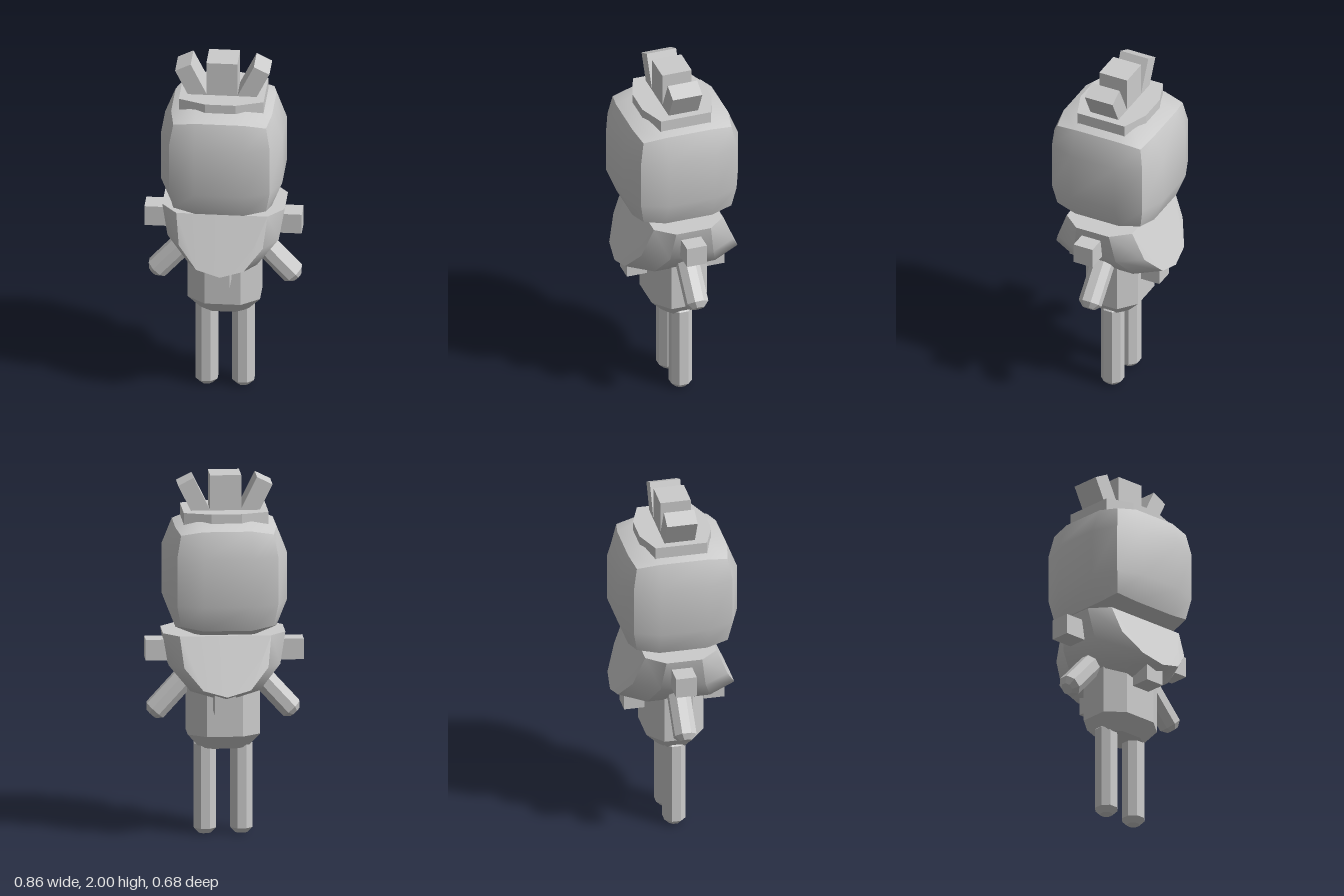
import * as THREE from 'three';
import { mergeGeometries } from 'three/addons/utils/BufferGeometryUtils.js';

const material = new THREE.MeshStandardMaterial({ color: 0xcccccc });
const flat = new THREE.MeshStandardMaterial({ color: 0xcccccc, flatShading: true });

function mesh(name, geometry, mat = flat) {
  const m = new THREE.Mesh(geometry, mat);
  m.name = name;
  return m;
}

function block(name, size, position, tilt = 0) {
  const m = mesh(name, new THREE.BoxGeometry(...size));
  m.position.set(...position);
  m.rotation.z = tilt;
  return m;
}

// Eight-sided prism through rings of [y, halfX, halfZ]; cx, cz place the cut corners.
function octagonLoft(rings, cx, cz) {
  const corners = [[1, cz], [cx, 1], [-cx, 1], [-1, cz], [-1, -cz], [-cx, -1], [cx, -1], [1, -cz]];
  const pos = [], index = [];
  rings.forEach(([y, hx, hz]) => corners.forEach(([x, z]) => pos.push(x * hx, y, z * hz)));
  for (let r = 0; r < rings.length - 1; r++) {
    for (let i = 0; i < 8; i++) {
      const a = r * 8 + i, b = r * 8 + (i + 1) % 8;
      index.push(a, a + 8, b, b, a + 8, b + 8);
    }
  }
  const top = (rings.length - 1) * 8;
  for (let i = 1; i < 7; i++) {
    index.push(0, i, i + 1, top, top + i + 1, top + i);
  }
  const g = new THREE.BufferGeometry();
  g.setAttribute('position', new THREE.Float32BufferAttribute(pos, 3));
  g.setIndex(index);
  return g;
}

// Smooth strip between two curves with the same number of points.
function strip(a, b) {
  const n = a.length, index = [];
  for (let i = 0; i < n - 1; i++) {
    index.push(i, n + i, i + 1, i + 1, n + i, n + i + 1);
  }
  const g = new THREE.BufferGeometry();
  g.setAttribute('position', new THREE.Float32BufferAttribute([...a, ...b].flat(), 3));
  g.setIndex(index);
  g.computeVertexNormals();
  return g;
}

// Cube bulged outwards on every face; each face stays smooth.
function headGeometry() {
  const g = new THREE.BoxGeometry(2, 2, 2, 3, 3, 3);
  const p = g.attributes.position;
  const reach = [0, 0.333, 0.276, 0.254];
  for (let i = 0; i < p.count; i++) {
    const v = [p.getX(i), p.getY(i), p.getZ(i)];
    const ends = v.filter(c => Math.abs(c) > 0.9).length;
    p.setXYZ(i, ...v.map(c => Math.sign(c) * (Math.abs(c) > 0.9 ? reach[ends] : 0.134)));
  }
  g.computeVertexNormals();
  return g;
}

// Half-round cape that flares to the front and back.
function capeGeometry() {
  const full = half => [...half.map(([x, y, z]) => [-x, y, z]), ...half.slice(0, -1).reverse()];
  const back = curve => curve.map(([x, y, z]) => [x, y, -z]);
  const edge = full([[0.25, 1.13, 0.2], [0.23, 0.965, 0.265], [0.13, 0.85, 0.325], [0, 0.815, 0.34]]);
  const side = full([[0.335, 1.13, 0.1], [0.305, 0.955, 0.125], [0.19, 0.82, 0.175], [0, 0.765, 0.19]]);
  const lid = curve => curve.map(([x, , z], i) => [i < 3 ? -0.25 : i > 3 ? 0.25 : 0, 1.13, Math.sign(z) * 0.2]);
  const rimFront = [side[0], edge[0], edge[6], side[6]];
  return mergeGeometries([
    strip(lid(edge), edge),
    strip(edge, side),
    strip(side, back(side)),
    strip(back(side), back(edge)),
    strip(back(edge), lid(back(edge))),
    strip(back(rimFront), rimFront),
  ]);
}

export function createModel() {
  const model = new THREE.Group();

  // Head and hair
  const head = mesh('head', headGeometry(), material);
  head.position.set(-0.007, 1.447, 0.005);
  const hairBase = mesh('hairBase', octagonLoft([[1.735, 0.232, 0.2], [1.805, 0.232, 0.2]], 0.36, 0.72));
  hairBase.position.set(-0.008, 0, 0.005);
  model.add(head, hairBase);
  model.add(block('middleTuft', [0.17, 0.22, 0.17], [-0.01, 1.89, 0.005]));
  for (const s of [-1, 1]) {
    model.add(block('sideTuft', [0.095, 0.21, 0.17], [-0.008 + s * 0.169, 1.872, 0.005], -s * 0.46));
  }

  // Cape and its toggles
  const capeMaterial = material.clone();
  capeMaterial.side = THREE.DoubleSide;
  model.add(mesh('cape', capeGeometry(), capeMaterial));
  const toggle = [0.115, 0.115, 0.115];
  model.add(
    block('leftToggle', [0.16, 0.115, 0.115], [0.345, 1.025, 0.012]),
    block('rightToggle', [0.16, 0.115, 0.115], [-0.358, 1.025, -0.012]),
    block('frontToggle', toggle, [-0.007, 0.783, 0.228]),
    block('backToggle', toggle, [0.007, 0.763, -0.215]),
  );

  // Torso
  model.add(mesh('torso', octagonLoft(
    [[0.48, 0.13, 0.09], [0.56, 0.198, 0.16], [0.9, 0.198, 0.16]], 0.5, 0.5)));

  // Legs and arms share one limb shape
  const limb = length => octagonLoft(
    [[0, 0.032, 0.032], [0.03, 0.06, 0.06], [length - 0.03, 0.06, 0.06], [length, 0.032, 0.032]], 0.42, 0.42);
  for (const s of [-1, 1]) {
    const leg = mesh(s > 0 ? 'leftLeg' : 'rightLeg', limb(0.53));
    leg.position.set(s * 0.1, 0, -0.005);
    const arm = mesh(s > 0 ? 'leftArm' : 'rightArm', limb(0.36));
    arm.position.set(s * 0.393, 0.664, -0.005);
    arm.rotation.z = s * 0.74;
    model.add(leg, arm);
  }
  return model;
}
